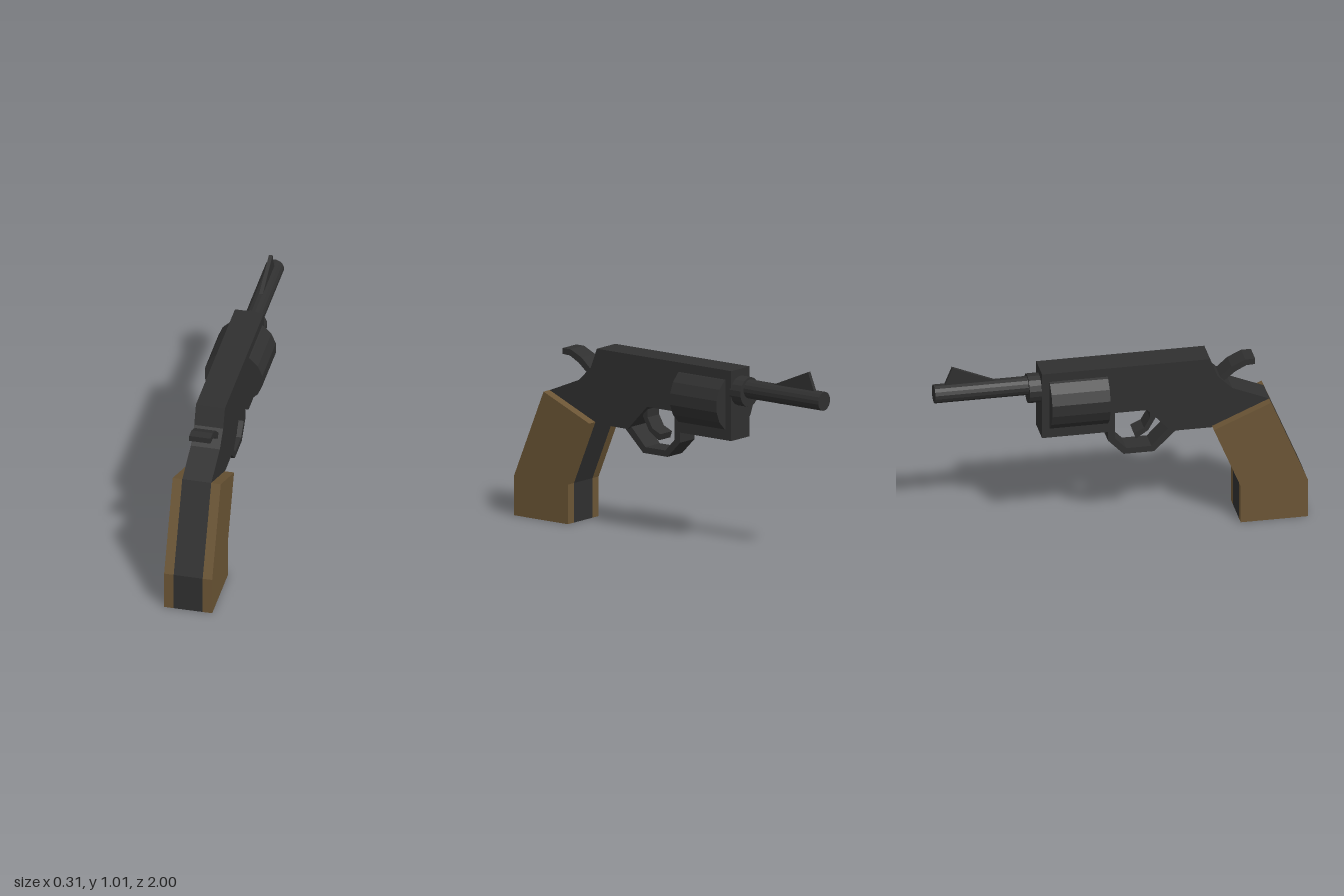
import * as THREE from 'three';

const metal = new THREE.MeshStandardMaterial({ color: 0x303030, flatShading: true });
metal.name = 'dark metal';
const wood = new THREE.MeshStandardMaterial({ color: 0x6b5535, flatShading: true });
wood.name = 'brown wood';

export function createModel() {
  const group = new THREE.Group();

  const add = (name, geometry, material) => {
    const mesh = new THREE.Mesh(geometry, material);
    mesh.name = name;
    group.add(mesh);
  };

  // Side profile given as [z, y] points, extruded from x0 to x1
  const slab = (name, points, x0, x1, material = metal) => {
    const shape = new THREE.Shape(points.map(([z, y]) => new THREE.Vector2(z, y)));
    const geometry = new THREE.ExtrudeGeometry(shape, { depth: x1 - x0, bevelEnabled: false });
    geometry.rotateY(-Math.PI / 2).translate(x1, 0, 0);
    add(name, geometry, material);
  };

  // Faceted round part lying along z
  const round = (name, radius, x, y, z0, z1) => {
    const geometry = new THREE.CylinderGeometry(radius, radius, z1 - z0, 16, 1, false, Math.PI / 16);
    geometry.rotateX(Math.PI / 2).translate(x, y, (z0 + z1) / 2);
    add(name, geometry, metal);
  };

  // Frame
  slab('frame', [
    [0.48, 0.965], [-0.43, 0.965], [-0.43, 0.585], [-0.07, 0.585], [-0.07, 0.695],
    [0.14, 0.695], [0.27, 0.557], [0.49, 0.557], [0.8, 0.697], [0.6, 0.78], [0.52, 0.86],
  ], -0.075, 0.083);

  // Grip: metal core between two wooden panels
  const grip = [[0.8, 0.698], [0.49, 0.565], [0.635, 0.215], [0.635, 0], [1, 0], [1, 0.215]];
  slab('gripCore', grip, -0.075, 0.083);
  slab('gripPanelRight', grip, -0.127, -0.075, wood);
  slab('gripPanelLeft', grip, 0.083, 0.135, wood);

  // Drum, collar and barrel
  round('drum', 0.16, 0, 0.778, -0.39, -0.075);
  round('collar', 0.08, 0.007, 0.848, -0.495, -0.42);
  round('barrel', 0.051, 0.008, 0.865, -1, -0.43);

  // Front sight, rooted inside the barrel
  slab('frontSight', [[-0.67, 0.915], [-0.9, 1.012], [-0.942, 0.91], [-0.71, 0.812]], 0, 0.02);

  // Trigger guard
  slab('triggerGuard', [
    [-0.07, 0.7], [-0.07, 0.525], [0.015, 0.437], [0.18, 0.437], [0.305, 0.557],
    [0.26, 0.568], [0.165, 0.47], [0.03, 0.47], [-0.032, 0.535], [-0.032, 0.7],
  ], -0.058, 0.066);

  // Trigger
  slab('trigger', [
    [0.2, 0.7], [0.19, 0.63], [0.15, 0.56], [0.085, 0.515], [0.073, 0.55],
    [0.128, 0.575], [0.16, 0.63], [0.16, 0.7],
  ], -0.046, 0.054);

  // Hammer
  slab('hammer', [
    [0.728, 0.932], [0.675, 0.932], [0.6, 0.897], [0.53, 0.835], [0.55, 0.81],
    [0.62, 0.867], [0.68, 0.898], [0.728, 0.9],
  ], -0.054, 0.062);

  return group;
}
